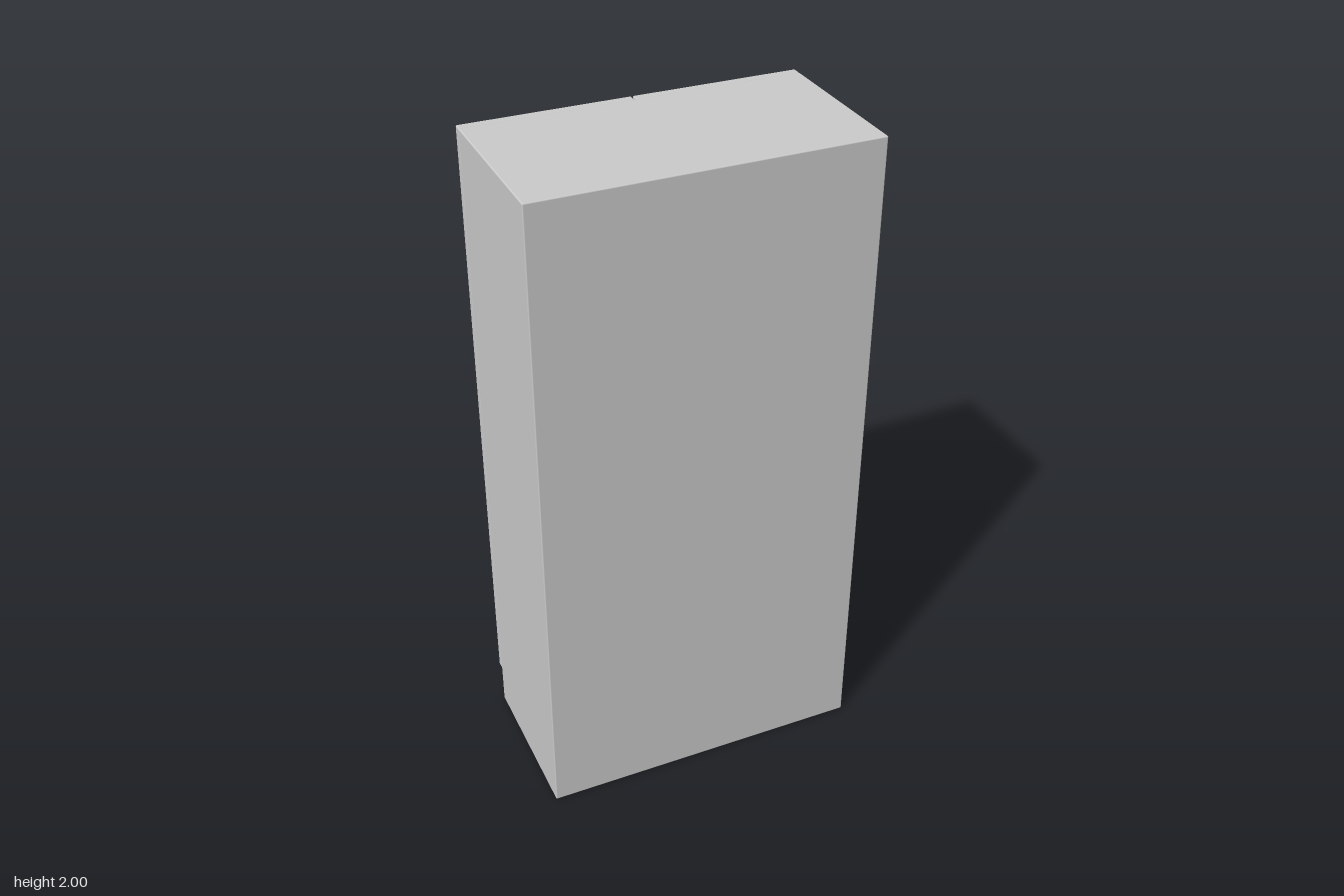
import * as THREE from 'three';
import { RoundedBoxGeometry } from 'three/addons/geometries/RoundedBoxGeometry.js';

const WIDTH = 0.996, HEIGHT = 2, DEPTH = 0.52;
const DOOR_DEPTH = 0.025, PLINTH = 0.13, GAP = 0.005, EDGE = 0.004;

export function createModel() {
  const wardrobe = new THREE.Group();
  wardrobe.name = 'wardrobe';
  const material = new THREE.MeshStandardMaterial({ color: 0xcccccc });

  // Panel with softly eased edges, placed by its centre
  const addPanel = (name, w, h, d, x, y, z) => {
    const panel = new THREE.Mesh(new RoundedBoxGeometry(w, h, d, 2, EDGE), material);
    panel.name = name;
    panel.position.set(x, y, z);
    wardrobe.add(panel);
  };

  // Carcass, its lower part showing as the recessed plinth
  addPanel('carcass', WIDTH, HEIGHT, DEPTH - DOOR_DEPTH, 0, HEIGHT / 2, DOOR_DEPTH / 2);

  // Pair of doors with a narrow gap between them
  const doorWidth = (WIDTH - GAP) / 2;
  const doorHeight = HEIGHT - PLINTH;
  for (const [name, side] of [['leftDoor', 1], ['rightDoor', -1]]) {
    addPanel(name, doorWidth, doorHeight, DOOR_DEPTH,
      side * (GAP + doorWidth) / 2, PLINTH + doorHeight / 2, (DOOR_DEPTH - DEPTH) / 2);
  }
  return wardrobe;
}
